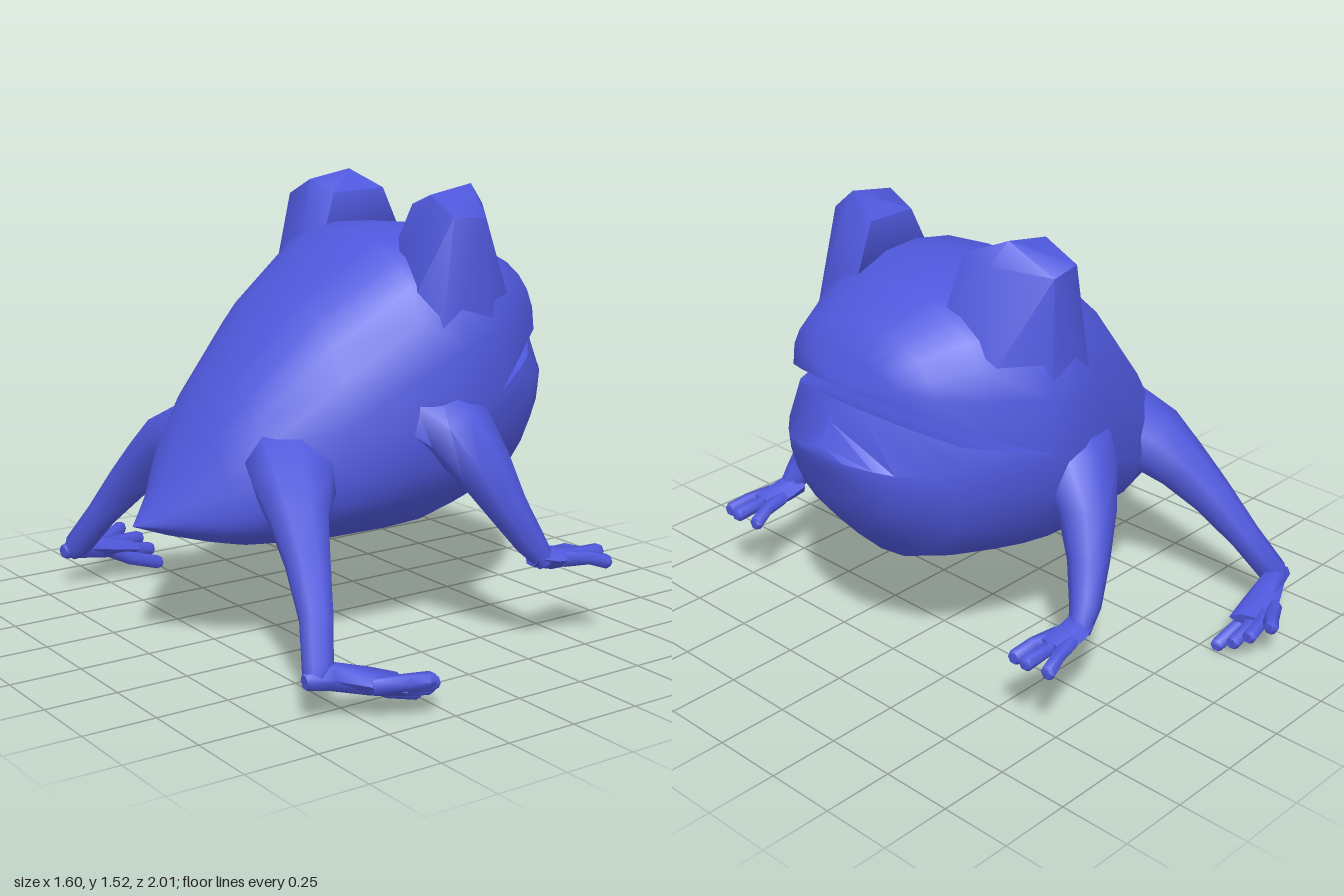
import * as THREE from 'three';
import { mergeGeometries, toCreasedNormals } from 'three/addons/utils/BufferGeometryUtils.js';
import { ConvexGeometry } from 'three/addons/geometries/ConvexGeometry.js';

const V = (x, y, z) => new THREE.Vector3(x, y, z);

// Skin between closed rings of points, optionally capped at both ends.
function loft(rings, capped) {
  const n = rings[0].length, pos = rings.flat().flatMap(p => p.toArray()), idx = [];
  for (let i = 0; i < rings.length - 1; i++)
    for (let k = 0; k < n; k++) {
      const a = i * n + k, b = i * n + (k + 1) % n, c = a + n, d = b + n;
      idx.push(a, c, b, b, c, d);
    }
  if (capped) {
    const last = (rings.length - 1) * n;
    for (let k = 1; k < n - 1; k++) idx.push(0, k, k + 1, last, last + k + 1, last + k);
  }
  const g = new THREE.BufferGeometry();
  g.setAttribute('position', new THREE.Float32BufferAttribute(pos, 3));
  g.setIndex(idx);
  return g;
}

// Tapered limb through [x, y, z, halfWidth, halfThickness] stations; s mirrors z.
function limb(stations, s, ref, sides = 6) {
  const pts = stations.map(p => V(p[0], p[1], p[2] * s));
  const rings = pts.map((p, i) => {
    const d = pts[Math.min(i + 1, pts.length - 1)].clone().sub(pts[Math.max(i - 1, 0)]).normalize();
    const u = d.clone().cross(ref).normalize(), v = u.clone().cross(d);
    const ru = stations[i][3], rv = stations[i][4] ?? ru;
    return Array.from({ length: sides }, (_, k) => {
      const t = (k / sides) * Math.PI * 2;
      return p.clone().addScaledVector(u, ru * Math.cos(t)).addScaledVector(v, rv * Math.sin(t));
    });
  });
  return loft(rings, true);
}

// Half of a rounded section, from one side over (or under) to the other.
const N = 12;
function arc(x, w, y0, y1, power, under) {
  return Array.from({ length: N + 1 }, (_, k) => {
    const t = (k / N) * Math.PI, c = Math.cos(t), e = 2 / power;
    const z = w * Math.sign(c) * Math.pow(Math.abs(c), e) * (under ? -1 : 1);
    return V(x, y0 + (y1 - y0) * Math.pow(Math.max(Math.sin(t), 0), e), Math.abs(z) < 1e-5 ? 0 : z);
  });
}

function bodyGeometry() {
  // Trunk: x, half width, height of widest line, top, bottom, squareness of the back
  const trunk = [
    [-0.8, 0, 0.45, 0.45, 0.45, 2], [-0.69, 0.13, 0.47, 0.56, 0.41, 2],
    [-0.58, 0.27, 0.5, 0.77, 0.38, 2], [-0.48, 0.345, 0.54, 0.905, 0.355, 2.1],
    [-0.25, 0.445, 0.62, 1.17, 0.33, 2.3], [0.02, 0.525, 0.74, 1.36, 0.325, 2.6],
    [0.15, 0.55, 0.8, 1.375, 0.33, 2.8], [0.29, 0.545, 0.865, 1.37, 0.36, 2.7],
  ].map(([x, w, m, t, b, p]) => [...arc(x, w, m, t, p), ...arc(x, w, m, b, 2.1, true)]);

  // Upper head: x, half width, lip height, top, squareness
  const head = [
    [0.29, 0.545, 0.865, 1.37, 2.7], [0.45, 0.435, 0.935, 1.33, 2.4], [0.6, 0.335, 1.01, 1.255, 2.3],
    [0.66, 0.225, 1.045, 1.16, 2.2], [0.695, 0.11, 1.065, 1.09, 2], [0.705, 0, 1.07, 1.07, 2],
  ].map(([x, w, m, t, p]) => arc(x, w, m, t, p));

  // Lower jaw: x, lip half width, lip height, widest half width, its height, bottom
  const jaw = [
    [0.29, 0.545, 0.865, 0.545, 0.865, 0.36], [0.45, 0.44, 0.9, 0.455, 0.85, 0.39],
    [0.54, 0.375, 0.925, 0.4, 0.84, 0.42], [0.64, 0.26, 0.98, 0.32, 0.84, 0.53],
    [0.705, 0.1, 1.02, 0.25, 0.84, 0.605], [0.745, 0, 0.965, 0.195, 0.85, 0.7],
    [0.785, 0, 0.89, 0.1, 0.86, 0.815], [0.8, 0, 0.86, 0, 0.86, 0.86],
  ].map(([x, lw, ly, w, m, b]) => [V(x, ly, lw), V(x, ly, -lw), ...arc(x, w, m, b, 2.1, true)]);

  return toCreasedNormals(mergeGeometries([loft(trunk), loft(head), loft(jaw)]), 0.8);
}

export function createModel() {
  const model = new THREE.Group();
  model.name = 'frog';
  const skin = new THREE.MeshStandardMaterial({ color: 0x4f58dc, side: THREE.DoubleSide });
  const add = (name, geometry, parent = model) => {
    const mesh = new THREE.Mesh(geometry, skin);
    mesh.name = name;
    parent.add(mesh);
  };
  const smooth = g => toCreasedNormals(g, 1.1);
  const X = V(1, 0, 0), Y = V(0, 1, 0);

  add('body', bodyGeometry());

  for (const s of [1, -1]) {
    const side = s > 0 ? 'Right' : 'Left';

    // Raised eye bump, its lower corners sunk into the cheek
    const eye = [
      [0.04, 1.27, 0.27], [0.02, 1.17, 0.41], [0.06, 0.95, 0.5], [0.28, 0.95, 0.52],
      [0.45, 1.1, 0.39], [0.43, 1.29, 0.2], [0.1, 1.33, 0.21], [0.13, 1.5, 0.35],
      [0.13, 1.44, 0.48], [0.25, 1.43, 0.495], [0.22, 1.2, 0.5], [0.3, 1.53, 0.35],
      [0.365, 1.46, 0.33], [0.35, 1.47, 0.21], [0.15, 1.46, 0.23],
    ].map(([x, y, z]) => V(x, y, z * s));
    add('eye' + side, toCreasedNormals(new ConvexGeometry(eye), 0.9));

    // Front leg with a broad shoulder, hand and fingers
    const front = new THREE.Group();
    front.name = 'frontLeg' + side;
    model.add(front);
    add('arm', smooth(limb([
      [0.08, 0.81, 0.41, 0.11, 0.17], [0.13, 0.75, 0.51, 0.105, 0.14], [0.18, 0.63, 0.59, 0.088, 0.1],
      [0.235, 0.5, 0.645, 0.068, 0.07], [0.3, 0.38, 0.69, 0.052], [0.35, 0.31, 0.71, 0.035],
    ], s, X, 8)), front);
    add('hand', smooth(limb([
      [0.31, 0.335, 0.69, 0.045, 0.04], [0.37, 0.32, 0.7, 0.055, 0.038], [0.48, 0.31, 0.7, 0.06, 0.026],
    ], s, Y)), front);
    for (const [x, y, z] of [[0.575, 0.285, 0.63], [0.6, 0.305, 0.7], [0.575, 0.29, 0.77]])
      add('finger', smooth(limb([
        [0.41, 0.315, 0.7 + (z - 0.7) * 0.4, 0.028], [0.5, 0.31, 0.7 + (z - 0.7) * 0.75, 0.024],
        [x - 0.01, y, z, 0.026], [x, y, z, 0.02],
      ], s, Y)), front);

    // Hind leg with a broad hip, foot and toes
    const hind = new THREE.Group();
    hind.name = 'hindLeg' + side;
    model.add(hind);
    add('leg', smooth(limb([
      [-0.36, 0.68, 0.26, 0.115, 0.17], [-0.425, 0.61, 0.385, 0.11, 0.14], [-0.465, 0.53, 0.475, 0.095, 0.1],
      [-0.505, 0.43, 0.58, 0.075, 0.075], [-0.555, 0.29, 0.7, 0.055], [-0.61, 0.16, 0.79, 0.05],
      [-0.63, 0.125, 0.81, 0.03],
    ], s, X, 8)), hind);
    add('foot', smooth(limb([
      [-0.665, 0.14, 0.8, 0.025, 0.025], [-0.58, 0.145, 0.81, 0.045, 0.045], [-0.46, 0.115, 0.845, 0.065, 0.04],
      [-0.37, 0.095, 0.875, 0.08, 0.028],
    ], s, Y)), hind);
    for (const [x, y, z] of [[-0.25, 0.028, 0.815], [-0.25, 0.065, 0.88], [-0.27, 0.1, 0.93], [-0.32, 0.135, 0.98]])
      add('toe', smooth(limb([
        [-0.48, 0.115, 0.85 + (z - 0.88) * 0.4, 0.028], [-0.38, 0.1 + (y - 0.09) * 0.6, 0.88 + (z - 0.89) * 0.75, 0.027],
        [x - 0.015, y, z, 0.026], [x, y, z, 0.02],
      ], s, Y)), hind);
  }
  return model;
}
